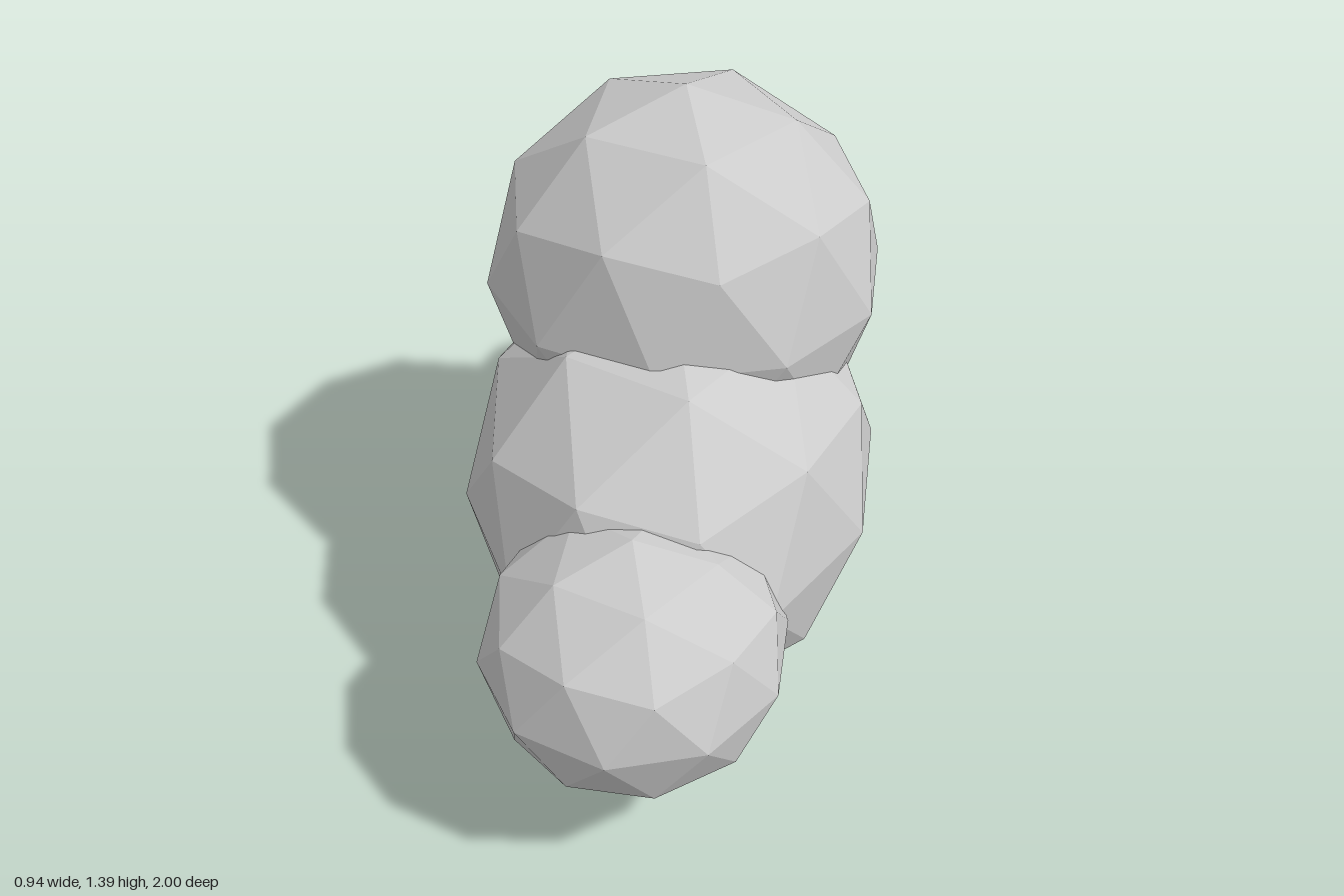
import * as THREE from 'three';

const material = new THREE.MeshStandardMaterial({ color: 0xcccccc, flatShading: true });

// 80-sided faceted ball standing on a pole, stretched to its radii
function puff(name, radii, position) {
  const geometry = new THREE.IcosahedronGeometry(1, 1);
  // turn a corner to the top, with the upper ring pointing to +x
  geometry.rotateZ(-Math.atan2(1, (1 + Math.sqrt(5)) / 2));
  geometry.scale(...radii);
  geometry.computeVertexNormals();
  const mesh = new THREE.Mesh(geometry, material);
  mesh.name = name;
  mesh.position.set(...position);
  return mesh;
}

export function createModel() {
  const cloud = new THREE.Group();
  cloud.name = 'cloud';
  cloud.add(
    puff('middlePuff', [0.493, 0.5, 0.63], [0, 0.5, 0.07]),
    puff('topPuff', [0.475, 0.475, 0.475], [-0.006, 0.915, -0.163]),
    puff('frontPuff', [0.34, 0.292, 0.36], [0, 0.457, 0.64]),
    puff('backPuff', [0.34, 0.292, 0.36], [0, 0.5, -0.64])
  );
  return cloud;
}
